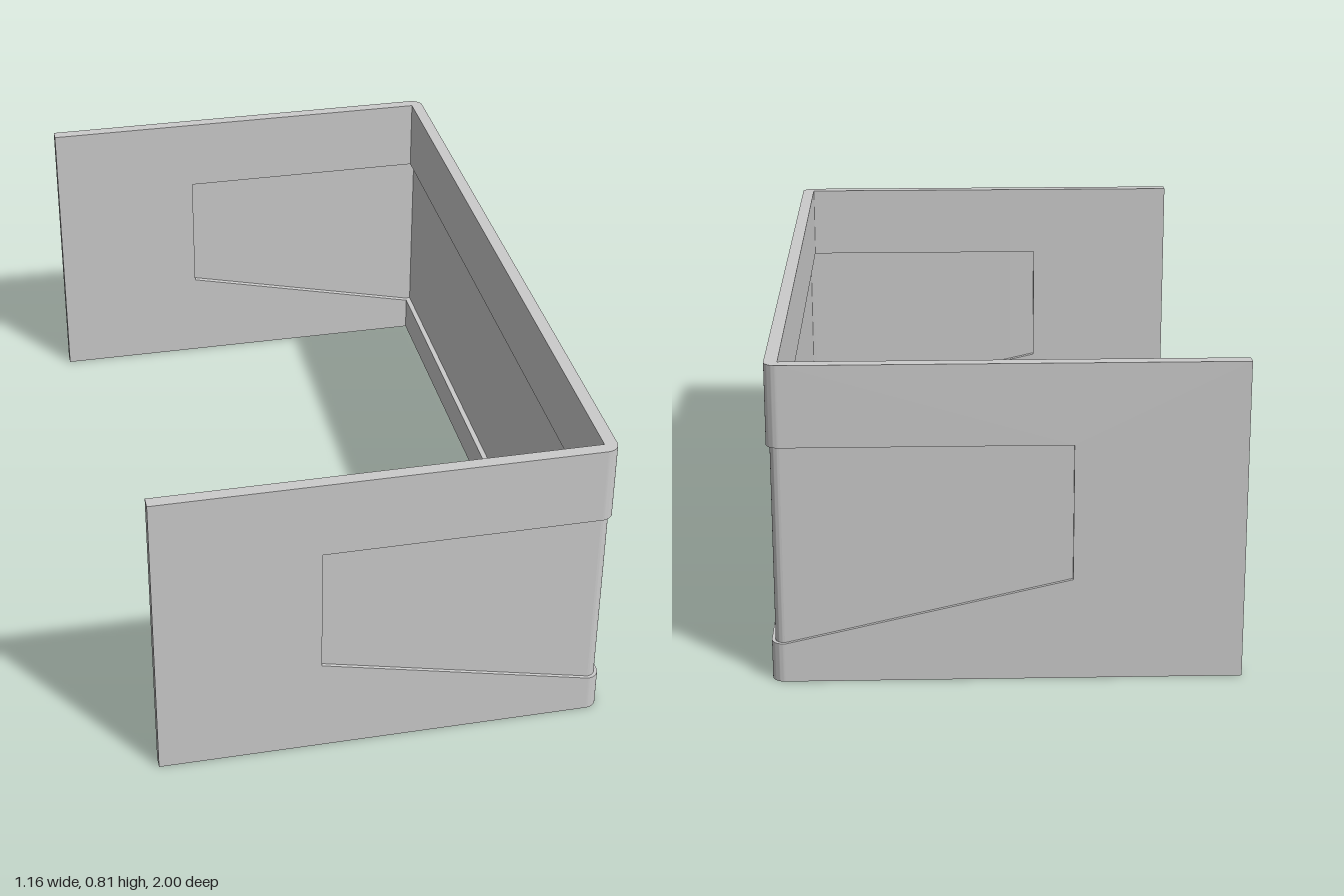
import * as THREE from 'three';
import { toCreasedNormals } from 'three/addons/utils/BufferGeometryUtils.js';

const H = 0.81, T = 0.033;           // wall height and thickness
const XE = -0.58, XC = 0.545;        // free end of the side walls, start of the bend
const ZC = 1 - T;                    // inner face of the side walls
const OUT = 0.009, IN = 0.015;       // recess depths, outside and inside
const XR = -0.16, Y0 = 0.1, Y1 = 0.605, YR = 0.26; // recess end, bottom, top, raised bottom

export function createModel() {
  const group = new THREE.Group();
  group.name = 'bentPanel';
  const material = new THREE.MeshStandardMaterial({ color: 0xcccccc });

  const add = (geometry, name) => {
    const mesh = new THREE.Mesh(toCreasedNormals(geometry, 0.5), material);
    mesh.name = name;
    group.add(mesh);
  };
  const extrude = (shape, depth) =>
    new THREE.ExtrudeGeometry(shape, { depth, bevelEnabled: false, curveSegments: 8 });
  const polygon = (points) =>
    new THREE.Shape(points.map(([x, y]) => new THREE.Vector2(x, y)));

  // Plan of the long wall with both rounded corners, thinned by a outside and b inside
  const spineSection = (a, b) => {
    const s = new THREE.Shape();
    s.moveTo(XC, -ZC - b);
    s.lineTo(XC, -1 + a);
    s.absarc(XC, -ZC, T - a, -Math.PI / 2, 0, false);
    s.absarc(XC, ZC, T - a, 0, Math.PI / 2, false);
    s.lineTo(XC, ZC + b);
    s.lineTo(XC + b, ZC + b);
    s.lineTo(XC + b, -ZC - b);
    s.closePath();
    return s;
  };
  const band = (name, y0, y1, a, b) => {
    const g = extrude(spineSection(a, b), y1 - y0);
    g.rotateX(-Math.PI / 2);
    g.translate(0, y0, 0);
    add(g, name);
  };
  band('longWallLowerBand', 0, Y0, 0, 0);
  band('longWallRecessedPanel', Y0, Y1, OUT, IN);
  band('longWallUpperBand', Y1, H, 0, 0);

  // Side walls: a full-thickness frame around a thin tapered panel
  const frame = polygon([
    [XE, 0], [XC, 0], [XC, Y0], [XR, YR], [XR, Y1], [XC, Y1], [XC, H], [XE, H],
  ]);
  const panel = polygon([[XC, Y0], [XC, Y1], [XR, Y1], [XR, YR]]);
  const plate = (name, shape, a, b, side) => {
    const depth = T - a - b;
    const g = extrude(shape, depth);
    g.translate(0, 0, side > 0 ? ZC + b : -1 + a);
    add(g, name);
  };
  for (const [side, label] of [[1, 'front'], [-1, 'back']]) {
    plate(label + 'WallFrame', frame, 0, 0, side);
    plate(label + 'WallRecessedPanel', panel, OUT, IN, side);
  }
  return group;
}
